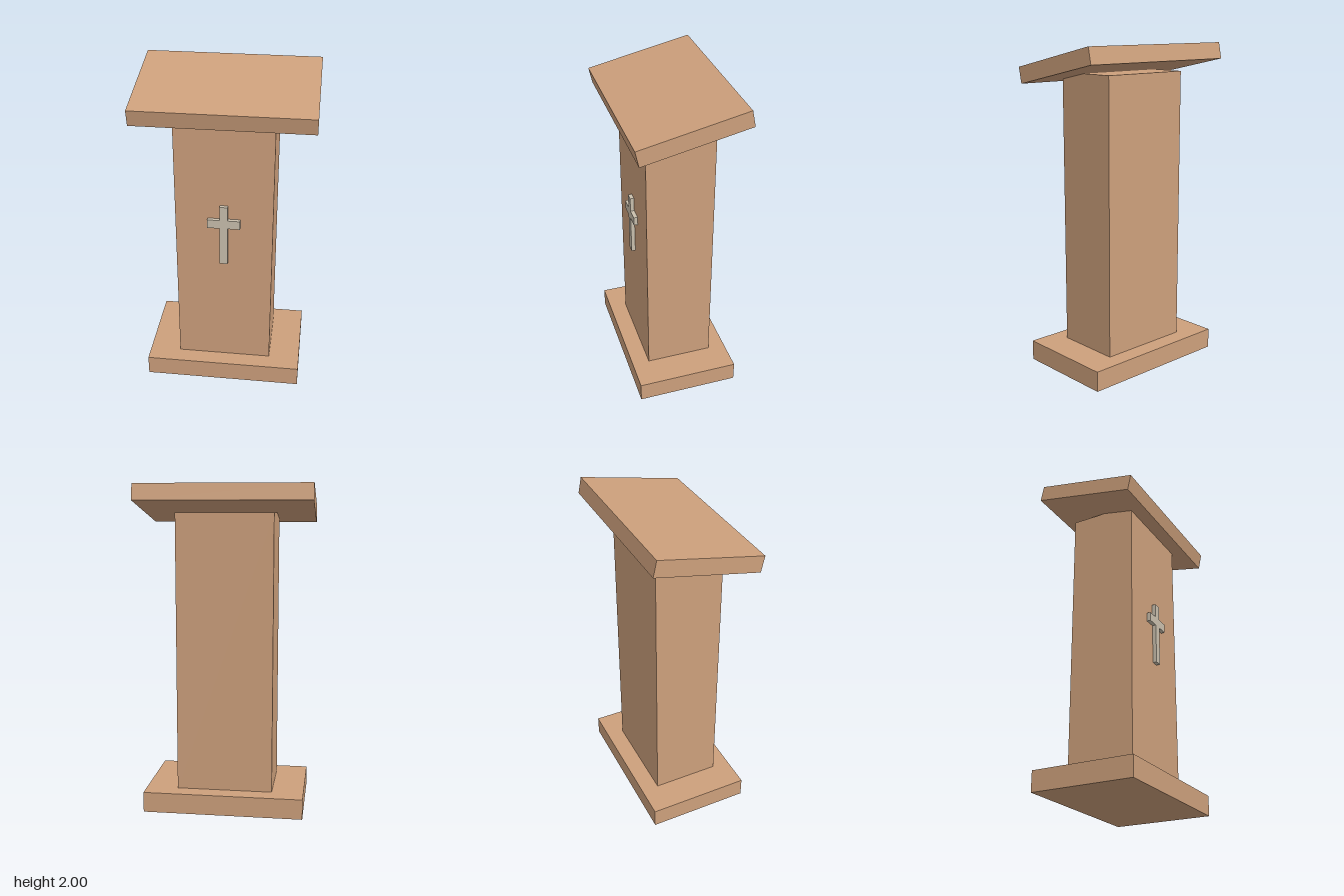
import * as THREE from 'three';

export function createModel() {
  const group = new THREE.Group();
  const wood = new THREE.MeshStandardMaterial({ color: 0xcda07c });
  wood.name = 'wood';
  const stone = new THREE.MeshStandardMaterial({ color: 0xcac0ae });
  stone.name = 'pale stone';

  function add(name, geometry, material, y, z = 0) {
    const mesh = new THREE.Mesh(geometry, material);
    mesh.name = name;
    mesh.position.set(0, y, z);
    group.add(mesh);
    return mesh;
  }

  // Foot slab and upright column
  add('base', new THREE.BoxGeometry(0.98, 0.125, 0.634), wood, 0.0625);
  add('column', new THREE.BoxGeometry(0.59, 1.705, 0.416), wood, 0.9775);

  // Reading desk, sloping down towards the front
  const desk = add('desk', new THREE.BoxGeometry(1.056, 0.1, 0.65), wood, 1.8835);
  desk.rotation.x = THREE.MathUtils.degToRad(12);

  // Cross on the column's front, as one outline
  const half = [
    [0.024, 0.845], [0.024, 1.095], [0.099, 1.095],
    [0.099, 1.15], [0.024, 1.15], [0.024, 1.24],
  ];
  const mirrored = half.map(([x, y]) => [-x, y]).reverse();
  const outline = [...half, ...mirrored].map(([x, y]) => new THREE.Vector2(x, y));
  const crossGeometry = new THREE.ExtrudeGeometry(new THREE.Shape(outline), {
    depth: 0.026, bevelEnabled: false,
  });
  add('cross', crossGeometry, stone, 0, 0.206);

  return group;
}
